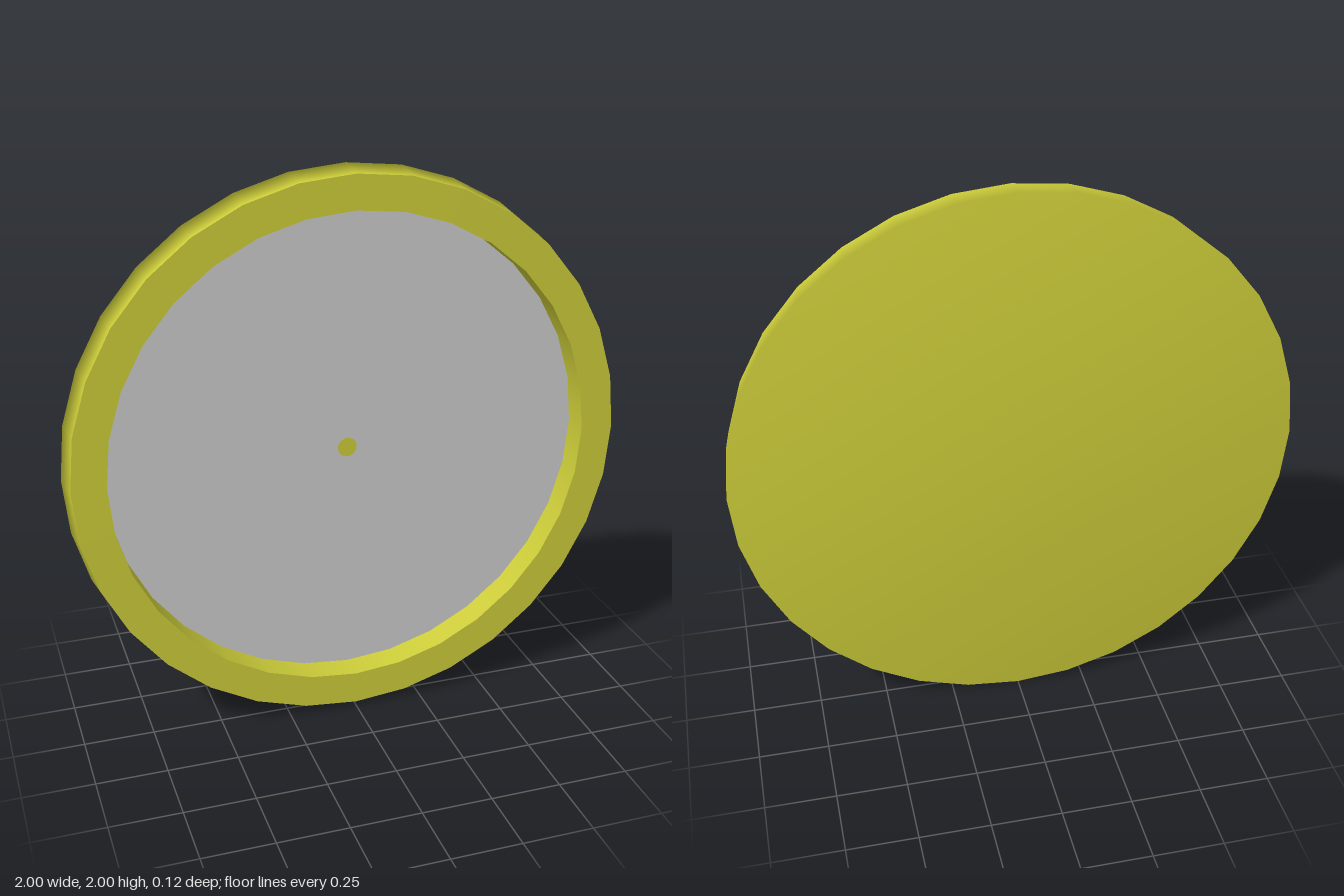
import * as THREE from 'three';

const SIDES = 32, HALF = 0.058, FACE_Z = -0.045;
const R_BACK = 1, R_FRONT = 0.985, R_INNER = 0.865;

export function createModel() {
  const model = new THREE.Group();
  const yellow = new THREE.MeshStandardMaterial({ color: 0xcdcd3a });
  const grey = new THREE.MeshStandardMaterial({ color: 0xcccccc });

  const add = (name, geometry, material, z = 0) => {
    const mesh = new THREE.Mesh(geometry, material);
    mesh.name = name;
    mesh.position.set(0, 1, z);
    model.add(mesh);
  };
  // Lathe a [radius, z] profile around the z axis
  const turned = (profile) => new THREE.LatheGeometry(
    profile.map(([r, z]) => new THREE.Vector2(r, z)), SIDES).rotateX(Math.PI / 2);

  // Casing: back and tapered outer wall share smooth normals
  add('casing', turned([[0, -HALF], [R_BACK, -HALF], [R_FRONT, HALF]]), yellow);

  // Flat front rim and the inner wall of the recess
  add('frontRim', new THREE.RingGeometry(R_INNER, R_FRONT, SIDES), yellow, HALF);
  add('innerWall', turned([[R_INNER, HALF], [R_INNER, FACE_Z]]), yellow);

  // Recessed face with a small centre disc
  add('face', new THREE.CircleGeometry(R_INNER, SIDES), grey, FACE_Z);
  add('centrePin', new THREE.CircleGeometry(0.035, SIDES), yellow, FACE_Z + 0.003);

  return model;
}
